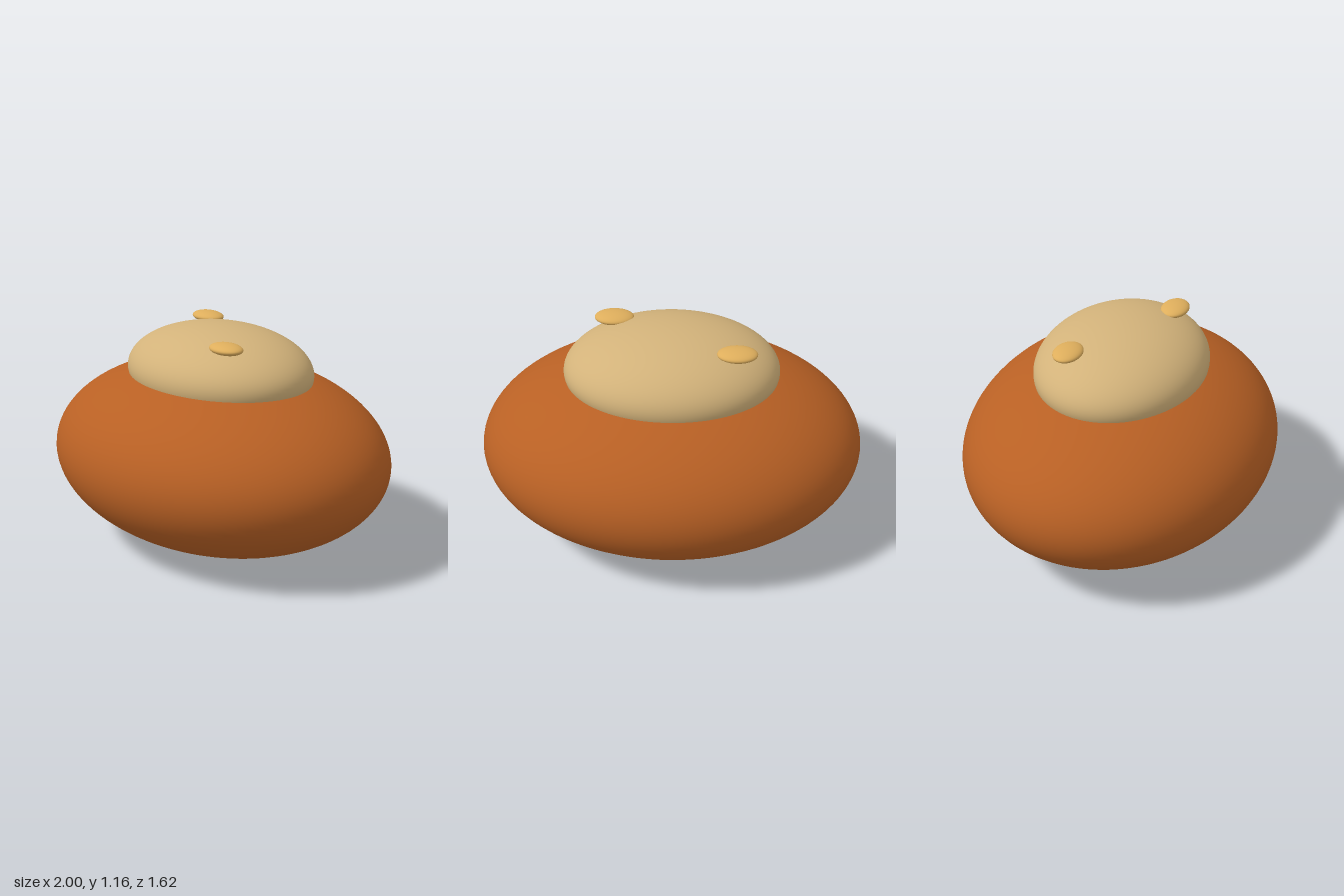
import * as THREE from 'three';

export function createModel() {
  const model = new THREE.Group();
  const material = (name, color) => {
    const m = new THREE.MeshStandardMaterial({ color });
    m.name = name;
    return m;
  };
  const crust = material('brown crust', 0xb86024);
  const cream = material('tan cream', 0xd2b27a);
  const grain = material('golden seed', 0xdeae5c);

  // Smooth ellipsoid placed by its centre and radii
  const ellipsoid = (name, mat, centre, radii, segments) => {
    const geometry = new THREE.SphereGeometry(1, segments, segments / 2);
    geometry.scale(...radii);
    const mesh = new THREE.Mesh(geometry, mat);
    mesh.name = name;
    mesh.position.set(...centre);
    model.add(mesh);
  };

  // Bun and the dome sunk into its top
  ellipsoid('bun', crust, [0, 0.49, 0], [1, 0.488, 0.81], 96);
  ellipsoid('topDome', cream, [0, 0.93, 0], [0.556, 0.236, 0.44], 96);

  // Two seeds resting on the dome
  ellipsoid('leftSeed', grain, [0.3, 1.126, 0.184], [0.102, 0.028, 0.073], 40);
  ellipsoid('rightSeed', grain, [-0.328, 1.128, -0.167], [0.102, 0.028, 0.073], 40);

  return model;
}
